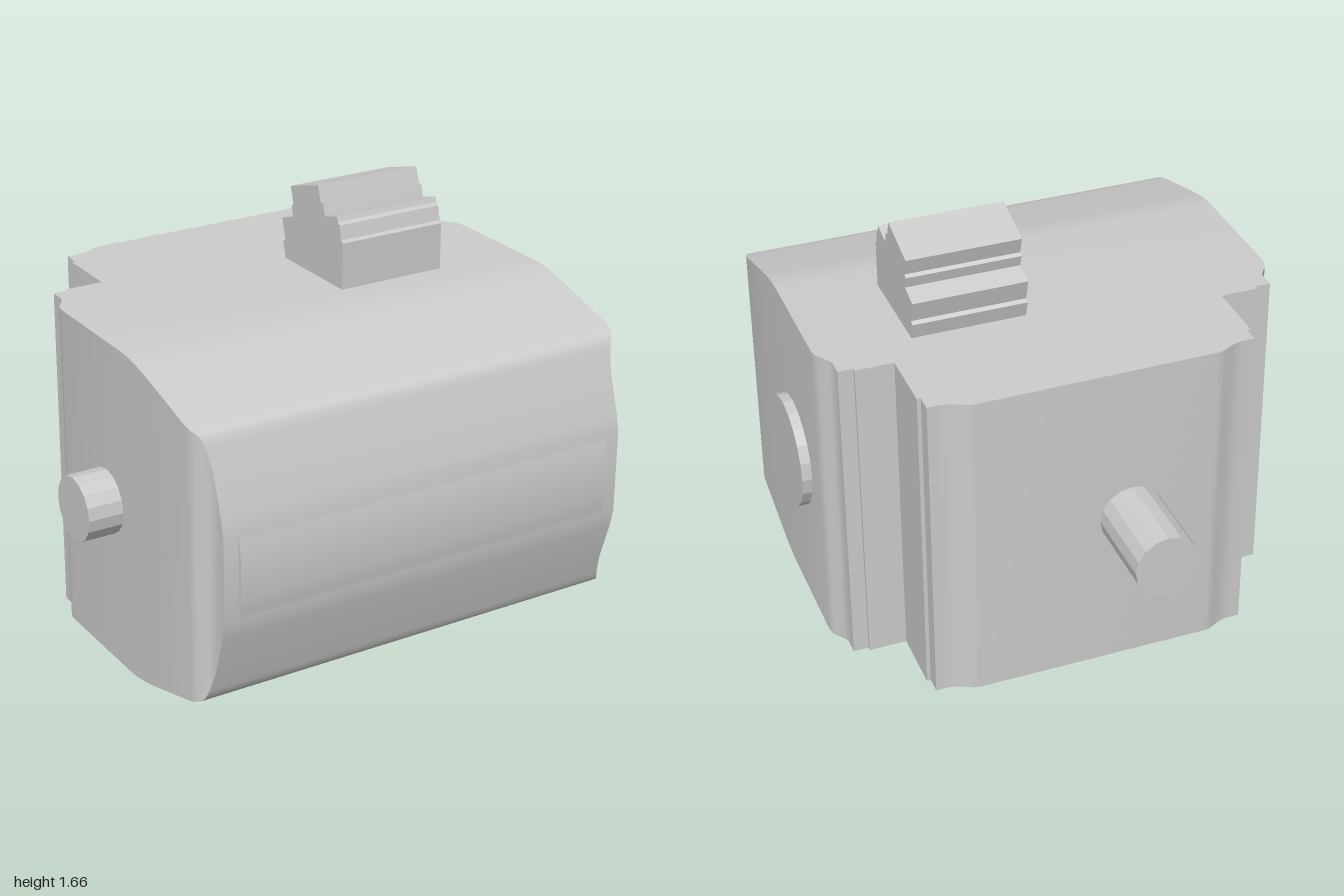
import * as THREE from 'three';
import { toCreasedNormals } from 'three/addons/utils/BufferGeometryUtils.js';

const CX = 0.05, CY = 0.65;

// Half height of the housing along z (side outline), front to back
const HEIGHTS = [
  [1, 0.07], [0.99, 0.14], [0.97, 0.235], [0.893, 0.48], [0.882, 0.508], [0.868, 0.523],
  [0.84, 0.535], [0.53, 0.623], [0.46, 0.639], [0.41, 0.647], [0.37, 0.65], [-0.66, 0.65],
];

// Half width of the housing along z (plan outline); a repeated z is a step
const WIDTHS = [
  [1, 0.8], [0.985, 0.8], [0.985, 0.86], [0.92, 0.86], [0.9, 0.869], [0.865, 0.895], [0.845, 0.905], [0.82, 0.91],
  [-0.12, 0.91], [-0.145, 0.905], [-0.165, 0.895], [-0.2, 0.869], [-0.22, 0.86], [-0.285, 0.86],
  [-0.285, 0.8], [-0.3, 0.8], [-0.3, 0.65], [-0.555, 0.65], [-0.555, 0.635], [-0.62, 0.635],
  [-0.62, 0.585], [-0.625, 0.56], [-0.632, 0.54], [-0.65, 0.505], [-0.657, 0.49], [-0.66, 0.47],
];

function sample(table, z) {
  for (let i = 0; i < table.length - 1; i++) {
    const [z0, v0] = table[i], [z1, v1] = table[i + 1];
    if (z0 > z1 && z <= z0 && z >= z1) return v0 + (v1 - v0) * (z0 - z) / (z0 - z1);
  }
  return table[table.length - 1][1];
}

// Rectangular cross-sections lofted along z
function housingGeometry() {
  const stations = WIDTHS.map(([z, w]) => ({ z, w, h: sample(HEIGHTS, z) }));
  for (const [z, h] of HEIGHTS) {
    if (!WIDTHS.some(([wz]) => wz === z)) stations.push({ z, w: sample(WIDTHS, z), h });
  }
  stations.sort((a, b) => b.z - a.z); // stable, so steps keep their order

  // Corners run anticlockwise as seen from the front
  const rings = stations.map(({ z, w, h }) => [
    [CX - w, CY - h, z], [CX + w, CY - h, z], [CX + w, CY + h, z], [CX - w, CY + h, z],
  ]);
  const pos = [];
  const quad = (a, b, c, d) => pos.push(...a, ...b, ...c, ...a, ...c, ...d);

  quad(...rings[0]);
  for (let i = 0; i < rings.length - 1; i++) {
    const a = rings[i], b = rings[i + 1];
    const step = stations[i].z === stations[i + 1].z;
    for (let k = 0; k < 4; k++) {
      if (step && k % 2 === 0) continue; // steps only have left and right faces
      const n = (k + 1) % 4;
      quad(a[k], b[k], b[n], a[n]);
    }
  }
  quad(...rings[rings.length - 1].slice().reverse());

  const geo = new THREE.BufferGeometry();
  geo.setAttribute('position', new THREE.Float32BufferAttribute(pos, 3));
  return toCreasedNormals(geo, 0.45);
}

// Stepped block outline in (z, y)
const BLOCK = [
  [0.245, 1.29], [0.245, 1.485], [0.235, 1.495], [0.222, 1.55], [0.21, 1.56], [0.203, 1.58],
  [0.12, 1.555], [0.105, 1.605], [0.09, 1.6], [0.068, 1.665], [-0.127, 1.607], [-0.107, 1.54],
  [-0.12, 1.53], [-0.108, 1.485], [-0.19, 1.46], [-0.167, 1.375], [-0.182, 1.365], [-0.162, 1.29],
];

export function createModel() {
  const group = new THREE.Group();
  const material = new THREE.MeshStandardMaterial({ color: 0xcccccc });
  const add = (name, geo) => {
    const mesh = new THREE.Mesh(geo, material);
    mesh.name = name;
    group.add(mesh);
    return mesh;
  };

  add('housing', housingGeometry());

  // Stepped block on the top face
  const shape = new THREE.Shape(BLOCK.map(([z, y]) => new THREE.Vector2(z, y)));
  const block = new THREE.ExtrudeGeometry(shape, { depth: 0.45, bevelEnabled: false });
  block.rotateY(-Math.PI / 2).translate(0.59, 0, 0);
  add('steppedBlock', block);

  // Round pins, sunk slightly into the housing
  const pin = (name, r, length, sides, axis, x, y, z) => {
    const geo = toCreasedNormals(new THREE.CylinderGeometry(r, r, length, sides), 0.3);
    if (axis === 'x') geo.rotateZ(Math.PI / 2);
    else geo.rotateX(Math.PI / 2);
    add(name, geo).position.set(x, y, z);
  };
  pin('rightShaft', 0.127, 0.16, 16, 'x', -0.92, 0.655, 0.21);
  pin('leftDisc', 0.224, 0.06, 20, 'x', 0.97, 0.655, 0.215);
  pin('rearShaft', 0.127, 0.36, 16, 'z', -0.093, 0.655, -0.82);

  return group;
}
